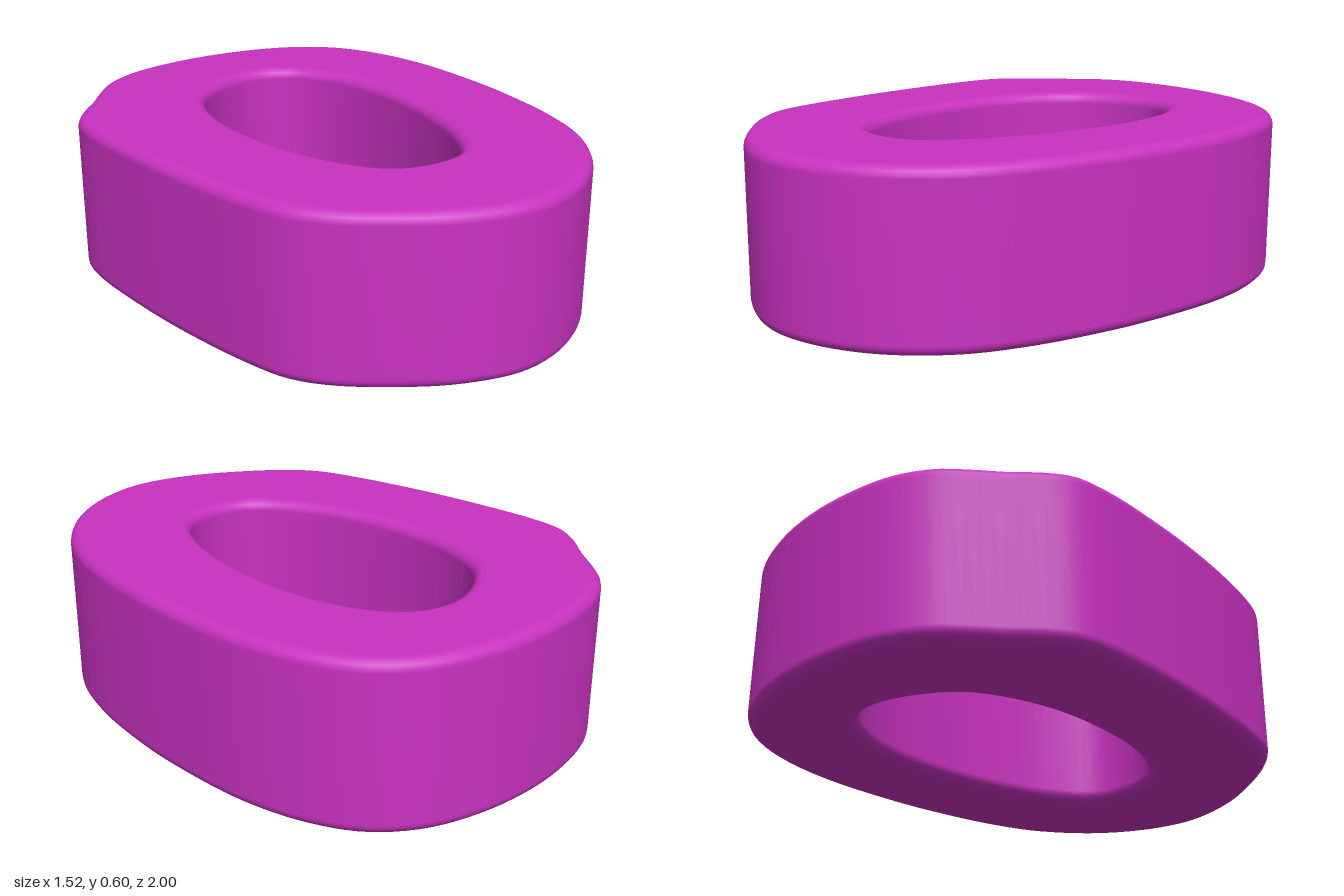
import * as THREE from 'three';
import { mergeVertices } from 'three/addons/utils/BufferGeometryUtils.js';

const HEIGHT = 0.6, BEVEL = 0.04;

// Outlines as [x, z] points
const OUTER = [
  [0, -1], [-0.2, -0.98], [-0.36, -0.935], [-0.48, -0.86], [-0.55, -0.78], [-0.62, -0.685],
  [-0.7, -0.59], [-0.75, -0.5], [-0.762, -0.37], [-0.745, -0.15], [-0.7, 0.15], [-0.62, 0.48],
  [-0.565, 0.62], [-0.48, 0.725], [-0.32, 0.845], [-0.12, 0.95], [0.1, 0.998], [0.3, 0.955],
  [0.5, 0.825], [0.65, 0.62], [0.72, 0.4], [0.755, 0.12], [0.76, -0.08], [0.735, -0.4],
  [0.67, -0.63], [0.57, -0.8], [0.42, -0.915], [0.22, -0.98],
];
const INNER = [
  [0.07, -0.66], [-0.07, -0.625], [-0.22, -0.52], [-0.285, -0.39], [-0.32, -0.2], [-0.31, 0],
  [-0.265, 0.21], [-0.18, 0.4], [-0.08, 0.51], [0.07, 0.54], [0.2, 0.5], [0.3, 0.34],
  [0.36, 0.1], [0.375, -0.14], [0.35, -0.35], [0.29, -0.51], [0.2, -0.62],
];

// Smooth closed loop through the points, in the extrusion plane (y = -z)
function smoothLoop(points, count) {
  const curve = new THREE.CatmullRomCurve3(
    points.map(([x, z]) => new THREE.Vector3(x, -z, 0)), true, 'centripetal');
  return curve.getSpacedPoints(count).slice(0, count).map((p) => new THREE.Vector2(p.x, p.y));
}

export function createModel() {
  const group = new THREE.Group();
  group.name = 'roundedRing';

  const shape = new THREE.Shape(smoothLoop(OUTER, 140));
  shape.holes.push(new THREE.Path(smoothLoop(INNER, 90)));

  // Extruded ring with rounded rims, outlines kept at their full size
  let geometry = new THREE.ExtrudeGeometry(shape, {
    depth: HEIGHT - 2 * BEVEL,
    bevelEnabled: true,
    bevelThickness: BEVEL,
    bevelSize: BEVEL,
    bevelOffset: -BEVEL,
    bevelSegments: 5,
  });
  geometry.rotateX(-Math.PI / 2);
  geometry.translate(0, BEVEL, 0);

  // Weld for smooth normals across walls and rims
  geometry.deleteAttribute('normal');
  geometry.deleteAttribute('uv');
  geometry = mergeVertices(geometry, 1e-5);
  geometry.computeVertexNormals();

  const ring = new THREE.Mesh(geometry, new THREE.MeshStandardMaterial({ color: 0xc832c0 }));
  ring.name = 'ringBody';
  group.add(ring);
  return group;
}
